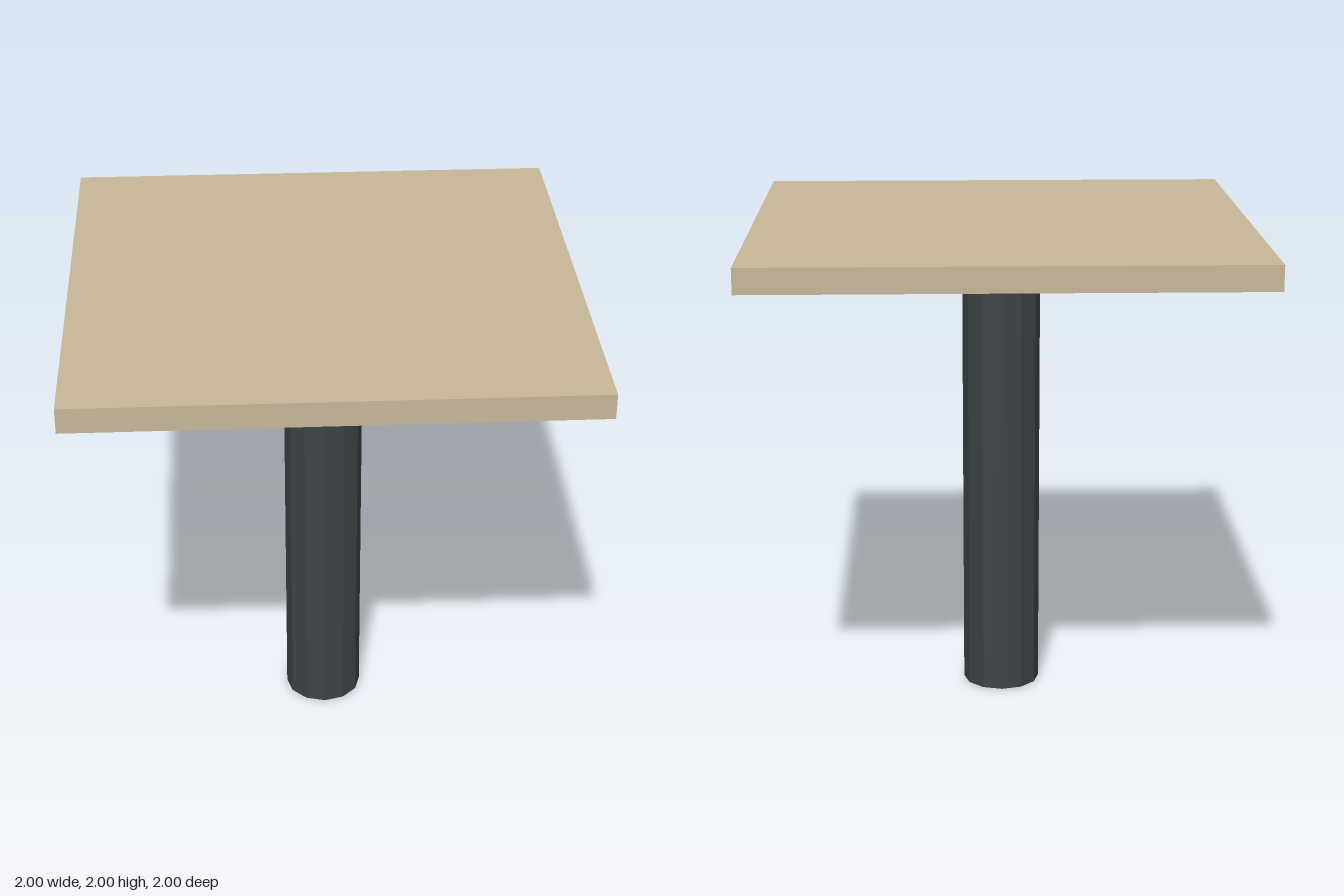
import * as THREE from 'three';

export function createModel() {
  const model = new THREE.Group();
  const wood = new THREE.MeshStandardMaterial({ color: 0xc8b89a });
  wood.name = 'pale wood';
  const metal = new THREE.MeshStandardMaterial({ color: 0x3d4446 });
  metal.name = 'dark metal';

  const add = (name, geometry, material, y) => {
    const mesh = new THREE.Mesh(geometry, material);
    mesh.name = name;
    mesh.position.y = y;
    model.add(mesh);
  };

  // Square slab on top
  add('tableTop', new THREE.BoxGeometry(2, 0.1, 2), wood, 1.95);

  // Twelve-sided column with flat facets
  const column = new THREE.CylinderGeometry(0.16, 0.16, 1.9, 12).toNonIndexed();
  column.computeVertexNormals();
  add('column', column, metal, 0.95);

  return model;
}
